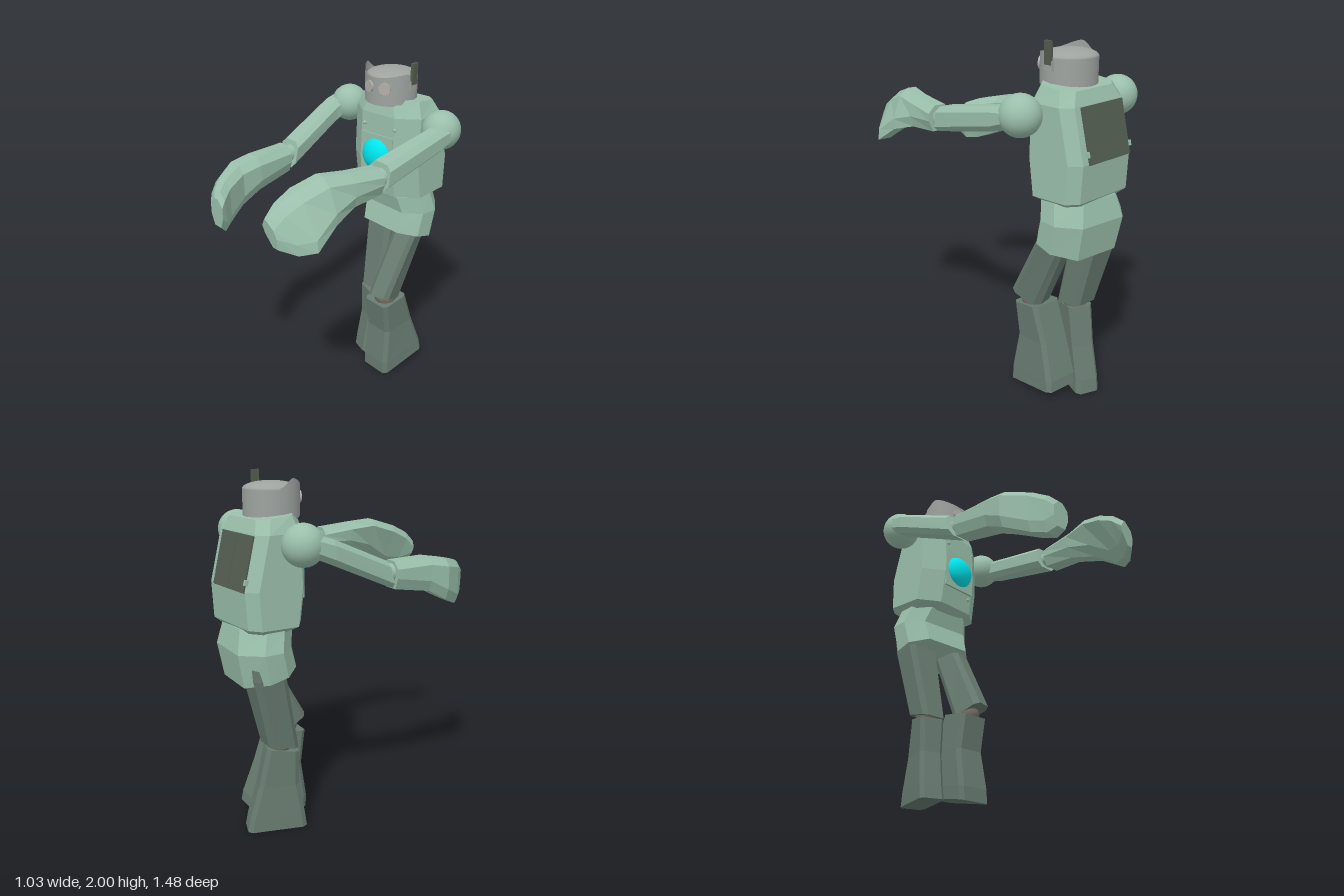
import * as THREE from 'three';

const mat = (color, flatShading = true, side = THREE.FrontSide) =>
  new THREE.MeshStandardMaterial({ color, flatShading, side });
const GREEN = mat(0x9abfab), GREEN_SMOOTH = mat(0x9abfab, false);
const LEG = mat(0x687b71), JOINT = mat(0x756f64, false), DOOR = mat(0x535d50);
const HEAD = mat(0x9ea3a0, false), VISOR = mat(0x9ea3a0, false, THREE.DoubleSide);
const EYE = mat(0xb3b0ab, false), CYAN = mat(0x00e6ee, false);

// Chamfered rectangle section: [level at v0, level at v1, u0, u1, v0, v1, shear of u along v].
// c0 and c1 are the [u, v] chamfers on the v0 and v1 sides.
function ring([t0, t1, u0, u1, v0, v1, shear = 0], c0, c1) {
  const t = v => t0 + (t1 - t0) * (v - v0) / (v1 - v0);
  return [
    [u0 + c0[0], v0], [u1 - c0[0], v0], [u1, v0 + c0[1]], [u1, v1 - c1[1]],
    [u1 - c1[0], v1], [u0 + c1[0], v1], [u0, v1 - c1[1]], [u0, v0 + c0[1]],
  ].map(([u, v]) => [u + shear * (v - (v0 + v1) / 2), v, t(v)]);
}

// Capped loft. Axis 'y' lists sections from top to bottom, axis 'z' from back to front.
function loft(axis, sections, c0, c1 = c0) {
  const pos = [], idx = [], n = 8;
  sections.forEach(s => ring(s, c0, c1).forEach(([u, v, t]) =>
    axis === 'y' ? pos.push(u, t, v) : pos.push(u, v, t)));
  for (let s = 0; s < sections.length - 1; s++)
    for (let i = 0; i < n; i++) {
      const a = s * n + i, b = s * n + (i + 1) % n;
      idx.push(a, b, b + n, a, b + n, a + n);
    }
  const e = (sections.length - 1) * n;
  for (let i = 1; i < n - 1; i++) idx.push(0, i + 1, i, e, e + i, e + i + 1);
  let g = new THREE.BufferGeometry();
  g.setAttribute('position', new THREE.Float32BufferAttribute(pos, 3));
  g.setIndex(idx);
  g = g.toNonIndexed();
  g.computeVertexNormals();
  return g;
}

function add(parent, name, geometry, material, p = [0, 0, 0], r = [0, 0, 0], s = [1, 1, 1]) {
  const m = new THREE.Mesh(geometry, material);
  m.name = name;
  m.position.set(...p);
  m.rotation.set(...r);
  m.scale.set(...s);
  parent.add(m);
  return m;
}
const box = (x, y, z) => new THREE.BoxGeometry(x, y, z);
const ball = r => new THREE.SphereGeometry(r, 32, 20);

function makeTorso() {
  const g = new THREE.Group();
  g.name = 'torso';
  g.position.set(-0.05, 0, -0.52);
  g.rotation.y = 0.1;
  add(g, 'torsoShell', loft('y', [
    [1.77, 1.80, -0.20, 0.20, -0.10, 0.165],
    [1.70, 1.70, -0.24, 0.24, -0.13, 0.19],
    [1.42, 1.42, -0.243, 0.243, -0.20, 0.20],
    [1.22, 1.21, -0.245, 0.245, -0.19, 0.17],
    [1.19, 1.18, -0.20, 0.20, -0.16, 0.12],
  ], [0.06, 0.05], [0.12, 0.09]), GREEN);
  // Chest plate with its glowing dome and bolts
  add(g, 'chestPlate', box(0.235, 0.25, 0.02), GREEN, [0, 1.455, 0.191]);
  add(g, 'chestDome', ball(0.105), CYAN, [0, 1.455, 0.185], [0, 0, 0], [1, 0.97, 0.65]);
  [[-0.1, 1.63, 0.193], [0.12, 1.63, 0.185], [0.1, 1.3, 0.183]].forEach(p =>
    add(g, 'bolt', new THREE.SphereGeometry(0.012, 10, 8), GREEN_SMOOTH, p));
  // Double hatch on the sloping back
  const hatch = new THREE.Group();
  hatch.name = 'backHatch';
  hatch.position.set(-0.02, 1.555, -0.165);
  hatch.rotation.x = 0.245;
  g.add(hatch);
  for (const s of [-1, 1]) {
    add(hatch, 'hatchDoor', box(0.158, 0.29, 0.02), DOOR, [s * 0.081, 0, 0]);
    add(hatch, 'hatchHinge', box(0.015, 0.03, 0.02), GREEN, [s * 0.165, -0.09, -0.006]);
  }
  return g;
}

function makeHead() {
  const g = new THREE.Group();
  g.name = 'head';
  g.position.set(-0.05, 1.845, -0.45);
  g.rotation.y = 0.08;
  add(g, 'skull', new THREE.CylinderGeometry(0.147, 0.147, 0.15, 40), HEAD, [0, -0.01, 0]);
  add(g, 'skullDome', new THREE.SphereGeometry(0.147, 40, 10, 0, Math.PI * 2, 0, Math.PI / 2),
    HEAD, [0, 0.065, 0], [0, 0, 0], [1, 0.28, 1]);
  // Face visor whose upper edge rises into a brow at each side
  const visor = new THREE.CylinderGeometry(0.154, 0.154, 0.15, 40, 1, true, -1.75, 3.5);
  const p = visor.attributes.position;
  for (let i = 0; i < p.count; i++) {
    if (p.getY(i) < 0) continue;
    const x = p.getX(i) / 0.154;
    const fade = THREE.MathUtils.smoothstep(p.getZ(i), -0.03, 0.06);
    p.setY(i, 0.075 + fade * x * x * (x < 0 ? 0.055 : 0.025));
  }
  visor.computeVertexNormals();
  add(g, 'visor', visor, VISOR);
  for (const a of [-0.23, 0.45])
    add(g, 'eye', new THREE.CylinderGeometry(0.034, 0.034, 0.025, 24), EYE,
      [Math.sin(a) * 0.15, 0.018, Math.cos(a) * 0.15]).rotation.set(Math.PI / 2, 0, -a);
  // Side antenna
  add(g, 'antennaMount', box(0.02, 0.05, 0.05), HEAD, [0.152, 0.03, 0]);
  add(g, 'antenna', box(0.018, 0.12, 0.042), DOOR, [0.16, 0.095, 0], [0, 0, -0.03]);
  return g;
}

// Shoulder, upper arm, wrist and tapering hand paddle
function makeArm(name, shoulder, wrist, upper, fore) {
  const g = new THREE.Group();
  g.name = name;
  add(g, 'shoulder', ball(0.11), GREEN_SMOOTH, shoulder);
  add(g, 'upperArm', loft('z', upper, [0.03, 0.03]), GREEN);
  add(g, 'wrist', new THREE.CylinderGeometry(0.05, 0.05, 0.1, 20), GREEN_SMOOTH, wrist, [Math.PI / 2, 0, 0]);
  add(g, 'forearm', loft('z', fore, [0.025, 0.06], [0.04, 0.04]), GREEN);
  return g;
}

// Thigh and shin are lofted around their pivots [x, z] and turned by a yaw
function makeLeg(name, knee, thigh, shin) {
  const g = new THREE.Group();
  g.name = name;
  add(g, 'thigh', loft('y', thigh.sections, [0.025, 0.03]), LEG,
    [thigh.at[0], 0, thigh.at[1]], [0, thigh.yaw, 0]);
  add(g, 'knee', ball(0.07), JOINT, knee);
  add(g, 'shin', loft('y', shin.sections, [0.02, 0.025]), LEG,
    [shin.at[0], 0, shin.at[1]], [0, shin.yaw, 0]);
  return g;
}

export function createModel() {
  const model = new THREE.Group();
  model.name = 'robot';
  model.add(makeTorso(), makeHead());

  // Hip block, tipped forward at the bottom
  add(model, 'pelvis', loft('y', [
    [1.21, 1.19, -0.265, 0.165, -0.70, -0.40],
    [1.08, 1.09, -0.30, 0.19, -0.73, -0.425],
    [0.89, 0.965, -0.285, 0.185, -0.695, -0.39],
  ], [0.10, 0.11], [0.09, 0.09]), GREEN);

  model.add(
    makeArm('leftArm', [0.31, 1.66, -0.49], [0.39, 1.55, 0.07], [
      [-0.47, -0.47, 0.30, 0.41, 1.60, 1.71],
      [-0.38, -0.38, 0.295, 0.42, 1.57, 1.70],
      [0.06, 0.04, 0.305, 0.455, 1.485, 1.625],
    ], [
      [0.09, 0.09, 0.32, 0.465, 1.48, 1.62],
      [0.28, 0.28, 0.33, 0.46, 1.47, 1.64, -0.15],
      [0.43, 0.43, 0.335, 0.465, 1.43, 1.655, -0.4],
      [0.57, 0.57, 0.335, 0.465, 1.34, 1.61, -0.55],
      [0.65, 0.67, 0.32, 0.43, 1.33, 1.56, -0.5],
      [0.72, 0.735, 0.30, 0.39, 1.36, 1.50, -0.4],
    ]),
    makeArm('rightArm', [-0.41, 1.66, -0.45], [-0.37, 1.465, 0.08], [
      [-0.42, -0.42, -0.51, -0.38, 1.60, 1.72],
      [-0.32, -0.32, -0.51, -0.375, 1.56, 1.69],
      [0.08, 0.04, -0.45, -0.30, 1.39, 1.54],
    ], [
      [0.10, 0.10, -0.44, -0.295, 1.38, 1.53],
      [0.34, 0.34, -0.42, -0.26, 1.34, 1.53],
      [0.46, 0.46, -0.42, -0.26, 1.28, 1.51],
      [0.59, 0.59, -0.34, -0.20, 1.225, 1.48],
      [0.65, 0.66, -0.28, -0.15, 1.22, 1.45],
      [0.69, 0.69, -0.24, -0.13, 1.26, 1.42],
    ]),
    makeLeg('leftLeg', [0.07, 0.53, -0.335], {
      at: [0.0775, -0.31], yaw: 0.3, sections: [
        [1.0, 1.0, 0.0, 0.14, -0.31, -0.13],
        [0.93, 0.93, -0.015, 0.135, -0.28, -0.10],
        [0.50, 0.575, -0.07, 0.07, -0.09, 0.09],
      ],
    }, {
      at: [0.07, -0.40], yaw: 0, sections: [
        [0.53, 0.50, -0.105, 0.085, -0.04, 0.15],
        [0.32, 0.30, -0.11, 0.08, -0.115, 0.12],
        [0.12, 0.08, -0.11, 0.10, -0.185, 0.15],
        [0.06, 0, -0.105, 0.105, -0.195, 0.15],
      ],
    }),
    makeLeg('rightLeg', [-0.125, 0.51, -0.47], {
      at: [-0.13, -0.47], yaw: 0, sections: [
        [1.0, 1.0, -0.13, 0.07, -0.20, -0.01],
        [0.93, 0.93, -0.13, 0.07, -0.19, 0],
        [0.52, 0.485, -0.08, 0.08, -0.09, 0.09],
      ],
    }, {
      at: [-0.13, -0.47], yaw: -0.28, sections: [
        [0.50, 0.47, -0.07, 0.075, -0.08, 0.10],
        [0.27, 0.27, -0.065, 0.07, -0.13, 0.10],
        [0.08, 0.08, -0.07, 0.07, -0.185, 0.13],
        [0, 0, -0.07, 0.075, -0.20, 0.14],
      ],
    }),
  );
  return model;
}
